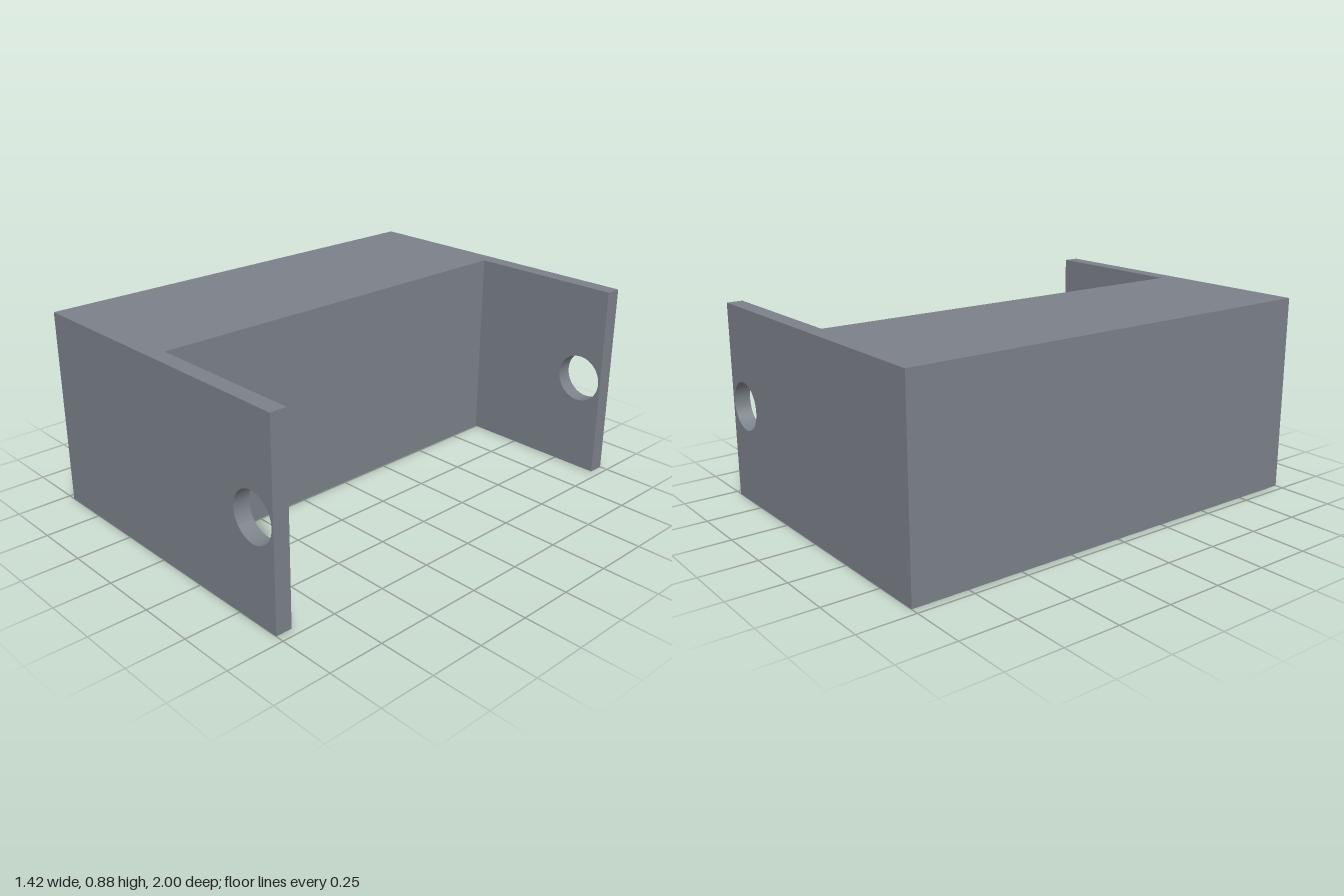
import * as THREE from 'three';
import { toCreasedNormals } from 'three/addons/utils/BufferGeometryUtils.js';

const HALF_X = 0.7125, HEIGHT = 0.882, HALF_Z = 1;
const INNER_X = -0.003;                 // inner face of the block
const EAR = 0.072;                      // ear thickness
const HOLE = { x: 0.595, y: HEIGHT / 2, r: 0.108 };

export function createModel() {
  const group = new THREE.Group();
  const material = new THREE.MeshStandardMaterial({ color: 0x7b8189 });

  // Solid block joining the two ears
  const width = INNER_X + HALF_X;
  const block = new THREE.Mesh(new THREE.BoxGeometry(width, HEIGHT, 2 * HALF_Z), material);
  block.name = 'block';
  block.position.set((INNER_X - HALF_X) / 2, HEIGHT / 2, 0);
  group.add(block);

  // Thin ear plate with a round mounting hole
  const plate = new THREE.Shape([
    new THREE.Vector2(INNER_X, 0),
    new THREE.Vector2(HALF_X, 0),
    new THREE.Vector2(HALF_X, HEIGHT),
    new THREE.Vector2(INNER_X, HEIGHT),
  ]);
  plate.holes.push(new THREE.Path().absarc(HOLE.x, HOLE.y, HOLE.r, 0, Math.PI * 2, true));
  const earGeometry = toCreasedNormals(
    new THREE.ExtrudeGeometry(plate, { depth: EAR, bevelEnabled: false, curveSegments: 48 }),
    Math.PI / 6
  );

  // One ear flush with each end of the block
  for (const [name, z] of [['frontEar', HALF_Z - EAR], ['backEar', -HALF_Z]]) {
    const ear = new THREE.Mesh(earGeometry, material);
    ear.name = name;
    ear.position.z = z;
    group.add(ear);
  }
  return group;
}
